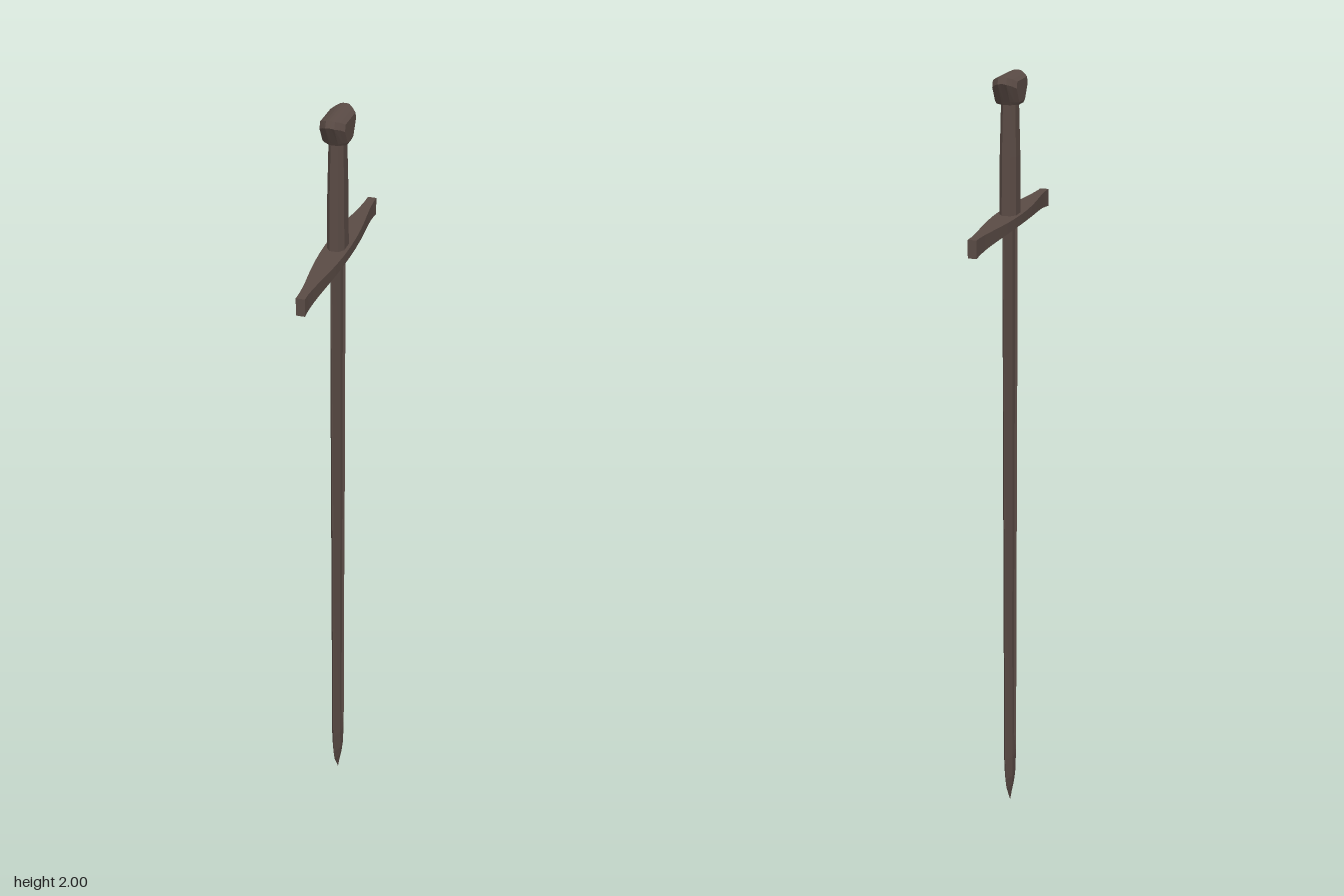
import * as THREE from 'three';

const steel = new THREE.MeshStandardMaterial({ color: 0x5a4b45 });
steel.name = 'darkSteel';

// Faceted skin over rings of points, capped at both ends.
// Points i and n-1-i of each ring mirror each other across z.
function loft(name, rings) {
  const pos = [];
  const tri = (a, b, c) => pos.push(...a, ...b, ...c);
  const quad = (a, b, c, d) => { tri(a, b, c); tri(a, c, d); };
  const n = rings[0].length;
  for (let r = 0; r < rings.length - 1; r++) {
    for (let i = 0; i < n; i++) {
      const j = (i + 1) % n;
      quad(rings[r][i], rings[r + 1][i], rings[r + 1][j], rings[r][j]);
    }
  }
  const low = rings[0], top = rings[rings.length - 1];
  for (let i = 0; i < n / 2 - 1; i++) {
    quad(top[i], top[n - 1 - i], top[n - 2 - i], top[i + 1]);
    quad(low[i], low[i + 1], low[n - 2 - i], low[n - 1 - i]);
  }
  const geometry = new THREE.BufferGeometry();
  geometry.setAttribute('position', new THREE.Float32BufferAttribute(pos, 3));
  geometry.computeVertexNormals();
  const mesh = new THREE.Mesh(geometry, steel);
  mesh.name = name;
  return mesh;
}

// Completes a ring from its +z half, given as [x, z] pairs; y may depend on x
function ring(half, y) {
  const at = typeof y === 'function' ? y : () => y;
  const front = half.map(([x, z]) => [x, at(x), z]);
  const back = half.map(([x, z]) => [x, at(x), -z]).reverse();
  return [...front, ...back];
}

// Blade: sharp edges and a shallow fuller that fades out near the point
function blade() {
  // y, half width, half thickness, fuller half width, fuller depth
  const stations = [
    [0, 0.001, 0.0005, 0.0005, 0],
    [0.025, 0.015, 0.004, 0.004, 0],
    [0.05, 0.029, 0.008, 0.009, 0],
    [0.08, 0.036, 0.011, 0.012, 0],
    [0.14, 0.038, 0.012, 0.016, 0],
    [0.2, 0.039, 0.012, 0.017, 0.005],
    [0.6, 0.042, 0.012, 0.018, 0.005],
    [1.0, 0.045, 0.013, 0.019, 0.005],
    [1.4, 0.049, 0.013, 0.02, 0.005],
    [1.64, 0.051, 0.013, 0.02, 0.005],
  ];
  return loft('blade', stations.map(([y, w, t, f, d]) => ring([
    [t - d, f * 0.75], [t, f], [t * 0.12, w], [-t * 0.12, w], [-t, f], [d - t, f * 0.75],
  ], y)));
}

// Crossguard: bowed in plan, with ends that deepen downwards
function crossguard() {
  const stations = [
    [0, 0.031], [0.05, 0.03], [0.1, 0.027], [0.15, 0.022],
    [0.2, 0.016], [0.23, 0.013], [0.26, 0.011], [0.285, 0.011],
  ];
  const all = [...stations.slice(1).reverse().map(([s, w]) => [-s, w]), ...stations];
  const mesh = loft('crossguard', all.map(([s, w]) => {
    const bottom = 1.63 - 0.02 * (s / 0.285) ** 2;
    return [[w, s, -bottom], [-w, s, -bottom], [-w, s, -1.655], [w, s, -1.655]];
  }));
  mesh.geometry.rotateX(Math.PI / 2);
  return mesh;
}

// Octagon half with clipped corners
const octagon = (x, z) => [[x, z * 0.55], [x * 0.5, z], [-x * 0.5, z], [-x, z * 0.55]];

// Grip: octagonal, slimmer towards the pommel
function grip() {
  return loft('grip', [
    [1.645, 0.022, 0.033], [1.8, 0.021, 0.031], [1.94, 0.018, 0.027],
  ].map(([y, x, z]) => ring(octagon(x, z), y)));
}

// Pommel: flared wedge with a cap rounded across x
function pommel() {
  const outline = (x, mid, end) => [
    [x, mid], [x * 0.68, mid + (end - mid) * 0.5], [x * 0.35, end], [x * 0.12, end],
    [-x * 0.12, end], [-x * 0.35, end], [-x * 0.68, mid + (end - mid) * 0.5], [-x, mid],
  ];
  const dome = (top) => (x) => top - 13 * x * x;
  return loft('pommel', [
    ring(outline(0.028, 0.018, 0.03), 1.928),
    ring(outline(0.031, 0.022, 0.034), 1.935),
    ring(outline(0.031, 0.043, 0.063), dome(1.984)),
    ring(outline(0.031, 0.038, 0.056), dome(2.0)),
  ]);
}

export function createModel() {
  const group = new THREE.Group();
  group.name = 'sword';
  group.add(blade(), crossguard(), grip(), pommel());
  return group;
}
